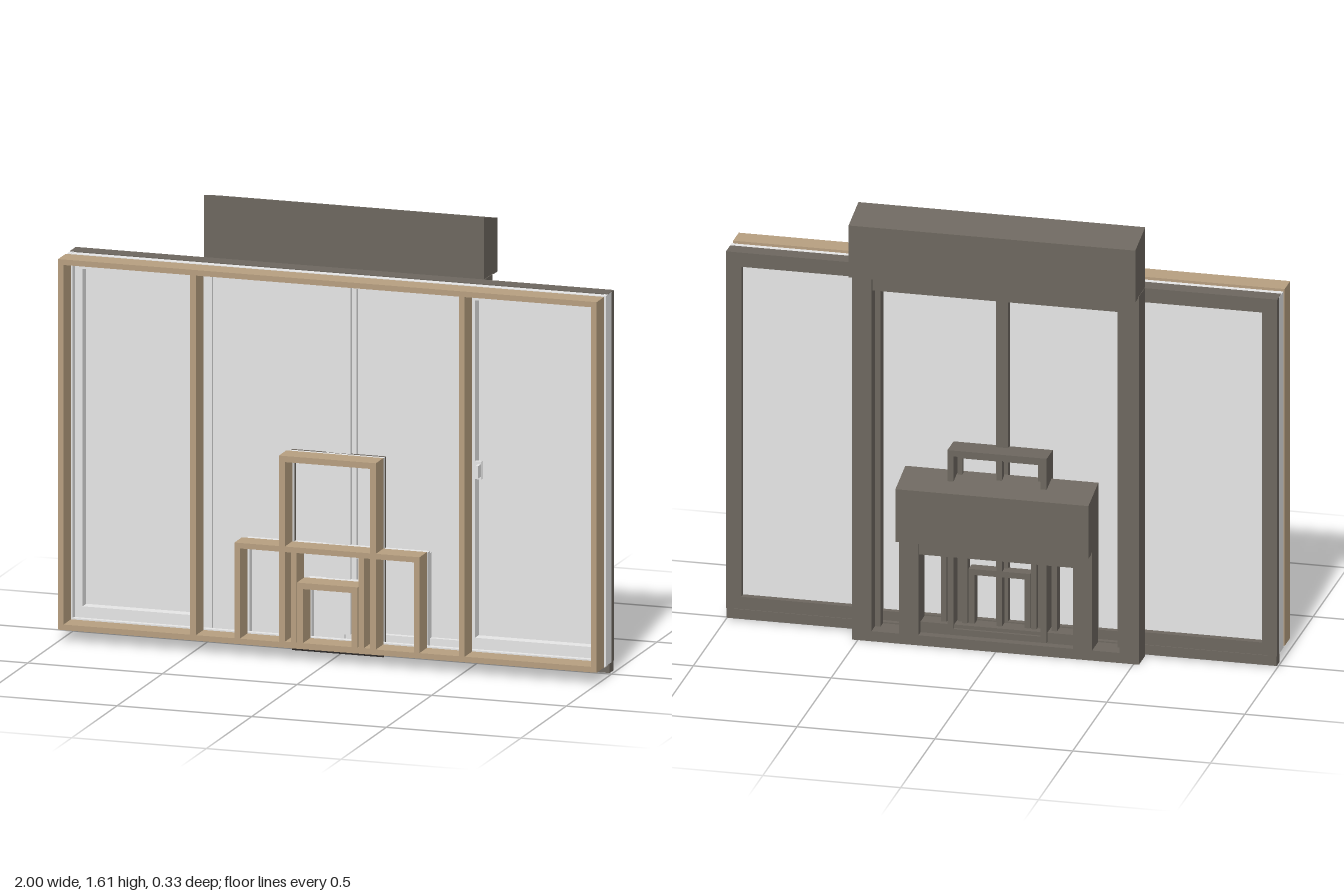
import * as THREE from 'three';

export function createModel() {
  const model = new THREE.Group();
  model.name = 'slidingWindow';
  const mat = (name, color) => {
    const m = new THREE.MeshStandardMaterial({ color });
    m.name = name;
    return m;
  };
  const wood = mat('wood', 0xb79f80);
  const dark = mat('darkMetal', 0x6d675f);
  const light = mat('lightFrame', 0xe6e6e6);
  const glass = mat('glass', 0xe6e6e6);
  const black = mat('black', 0x2b2826);

  const add = (name, geo, m) => {
    const mesh = new THREE.Mesh(geo, m);
    mesh.name = name;
    model.add(mesh);
    return mesh;
  };
  const box = (name, m, x0, x1, y0, y1, z0, z1) =>
    add(name, new THREE.BoxGeometry(x1 - x0, y1 - y0, z1 - z0), m)
      .position.set((x0 + x1) / 2, (y0 + y1) / 2, (z0 + z1) / 2);
  // Mirrored pair of boxes
  const pair = (name, m, x0, x1, y0, y1, z0, z1) => {
    box(name + 'Left', m, x0, x1, y0, y1, z0, z1);
    box(name + 'Right', m, -x1, -x0, y0, y1, z0, z1);
  };
  // Rectangular frame of width t with an open middle
  const frame = (name, m, x0, x1, y0, y1, z0, z1, t) => {
    const rect = (P, a, b, c, d) => new P().moveTo(a, c).lineTo(b, c).lineTo(b, d).lineTo(a, d).closePath();
    const shape = rect(THREE.Shape, x0, x1, y0, y1);
    shape.holes.push(rect(THREE.Path, x0 + t, x1 - t, y0 + t, y1 - t));
    const geo = new THREE.ExtrudeGeometry(shape, { depth: z1 - z0, bevelEnabled: false });
    geo.translate(0, 0, z0);
    add(name, geo, m);
  };
  // Shutter housing with a top that slopes down to the back
  const shutterBox = (name, half, y0, y1) => {
    const s = new THREE.Shape();
    [[0.02, y0 + 0.005], [0.125, y0 + 0.005], [0.125, y0], [0.165, y0], [0.165, y1 - 0.035], [0.02, y1]]
      .forEach(([u, v], i) => (i ? s.lineTo(u, v) : s.moveTo(u, v)));
    const geo = new THREE.ExtrudeGeometry(s, { depth: 2 * half, bevelEnabled: false });
    geo.translate(0, 0, -half);
    geo.rotateY(Math.PI / 2);
    add(name, geo, dark);
  };

  // Wooden lining of the large window
  frame('woodFrame', wood, -1, 1, 0.045, 1.388, 0.083, 0.165, 0.02);
  pair('woodMullion', wood, 0.488, 0.51, 0.065, 1.368, 0.083, 0.165);

  // Inner light frame and its step towards the wood
  frame('innerStep', light, -0.985, 0.985, 0.06, 1.367, 0.065, 0.083, 0.01);
  frame('innerFrame', light, -0.997, 0.997, 0.04, 1.385, 0.037, 0.065, 0.02);
  pair('innerJamb', light, 0.985, 1, 0.045, 1.386, 0, 0.064);

  // Outer dark frame and sill
  box('outerHead', dark, -0.999, 0.999, 1.372, 1.388, -0.026, 0.036);
  pair('outerJamb', dark, 0.97, 1, 0.045, 1.386, -0.025, 0);
  box('outerSill', dark, -0.998, 0.998, 0.009, 0.045, -0.025, 0.015);

  // Side panels
  for (const s of [-1, 1]) {
    const a = s > 0 ? 0.468 : -0.99;
    const b = s > 0 ? 0.99 : -0.468;
    frame('sidePanelOuter', dark, a, b, 0.046, 1.38, -0.024, 0.008, 0.046);
    frame('sidePanelInner', light, a, b, 0.065, 1.372, 0.009, 0.05, 0.042);
    box('sideGlass', glass, a + 0.04, b - 0.04, 0.09, 1.34, 0.002, 0.01);
    // Grip on the inside
    box('gripPlate', light, s * 0.525 - 0.012, s * 0.525 + 0.012, 0.685, 0.75, 0.05, 0.062);
    box('grip', light, s * 0.53 - 0.005, s * 0.53 + 0.005, 0.695, 0.74, 0.062, 0.09);
  }

  // Central leaves: the right one stands further in than the left one
  frame('centreLeafOuter', dark, -0.47, 0.47, 0.05, 1.372, -0.02, 0.001, 0.035);
  box('rightLeafGlass', glass, -0.47, 0.02, 0.046, 1.371, 0.012, 0.036);
  box('leftLeafGlass', glass, 0, 0.47, 0.07, 1.36, 0.002, 0.01);
  frame('leftLeafInner', light, 0.021, 0.5, 0.046, 1.371, 0.01, 0.026, 0.04);
  box('meetingStileOuter', dark, -0.022, 0.022, 0.06, 1.36, -0.02, 0.011);
  box('meetingStileInner', light, -0.045, 0.045, 0.08, 1.36, 0.013, 0.045);

  // Large shutter: guides, housing, bottom bar and threshold
  pair('shutterGuide', dark, 0.45, 0.52, 0.012, 1.388, -0.112, -0.024);
  pair('guideLip', dark, 0.43, 0.45, 0.04, 1.388, -0.06, -0.024);
  shutterBox('shutterHousing', 0.52, 1.385, 1.615);
  box('shutterHead', dark, -0.45, 0.45, 1.35, 1.388, -0.07, -0.024);
  box('shutterBar', dark, -0.45, 0.45, 1.318, 1.388, -0.1, -0.07);
  box('threshold', dark, -0.52, 0.52, 0.002, 0.04, -0.112, -0.02);

  // Small window in the middle, tall part
  const tall = 0.18;
  frame('tallWood', wood, -tall, tall, 0.045, 0.74, 0.083, 0.165, 0.022);
  frame('tallInner', light, -0.175, 0.175, 0.046, 0.735, 0.05, 0.065, 0.015);
  frame('tallTrack', dark, -0.175, 0.175, 0.046, 0.735, 0.037, 0.049, 0.015);
  frame('tallOuter', dark, -tall, tall, 0.045, 0.738, -0.09, 0, 0.022);
  frame('tallLeaf', dark, -0.155, 0.155, 0.06, 0.712, -0.045, -0.025, 0.018);
  box('tallStile', dark, -0.01, 0.01, 0.06, 0.72, -0.06, -0.03);

  // Small window, wide part with side lights
  frame('wideWood', wood, -0.345, 0.342, 0.045, 0.412, 0.083, 0.165, 0.02);
  pair('wideWoodMullion', wood, 0.115, 0.136, 0.06, 0.395, 0.083, 0.165);
  frame('wideInner', light, -0.338, 0.338, 0.046, 0.405, 0.037, 0.065, 0.015);
  frame('wideLeafInner', light, 0.022, 0.335, 0.046, 0.395, 0.012, 0.03, 0.04);
  frame('wideOuter', dark, -0.345, 0.345, 0.04, 0.41, -0.08, 0, 0.04);
  pair('wideMullion', dark, 0.19, 0.21, 0.05, 0.4, -0.06, -0.02);
  pair('wideStile', dark, 0.115, 0.135, 0.05, 0.4, -0.06, -0.02);

  // Small shutter
  pair('smallShutterGuide', dark, 0.28, 0.35, 0.02, 0.415, -0.112, -0.024);
  shutterBox('smallShutterHousing', 0.35, 0.405, 0.638);
  box('smallShutterHead', dark, -0.28, 0.28, 0.38, 0.41, -0.07, -0.03);
  box('smallShutterBar', dark, -0.28, 0.28, 0.34, 0.409, -0.1, -0.07);

  // Lowest opening with a door leaf and its threshold
  frame('doorWood', wood, -0.113, 0.112, 0.045, 0.285, 0.083, 0.165, 0.022);
  frame('doorInner', light, -0.108, 0.108, 0.046, 0.28, 0.037, 0.065, 0.015);
  frame('doorOuter', dark, -0.112, 0.112, 0.04, 0.285, -0.055, -0.01, 0.022);
  box('doorStile', dark, -0.01, 0.01, 0.05, 0.28, -0.055, -0.02);
  box('doorThreshold', light, -0.17, 0.17, 0.01, 0.039, 0.015, 0.048);
  box('thresholdFace', black, -0.17, 0.17, 0.01, 0.039, 0.048, 0.052);
  box('doorHandlePlate', light, 0.07, 0.085, 0.12, 0.2, 0.027, 0.04);
  box('doorHandle', dark, 0.076, 0.082, 0.13, 0.195, 0.04, 0.06);

  return model;
}
